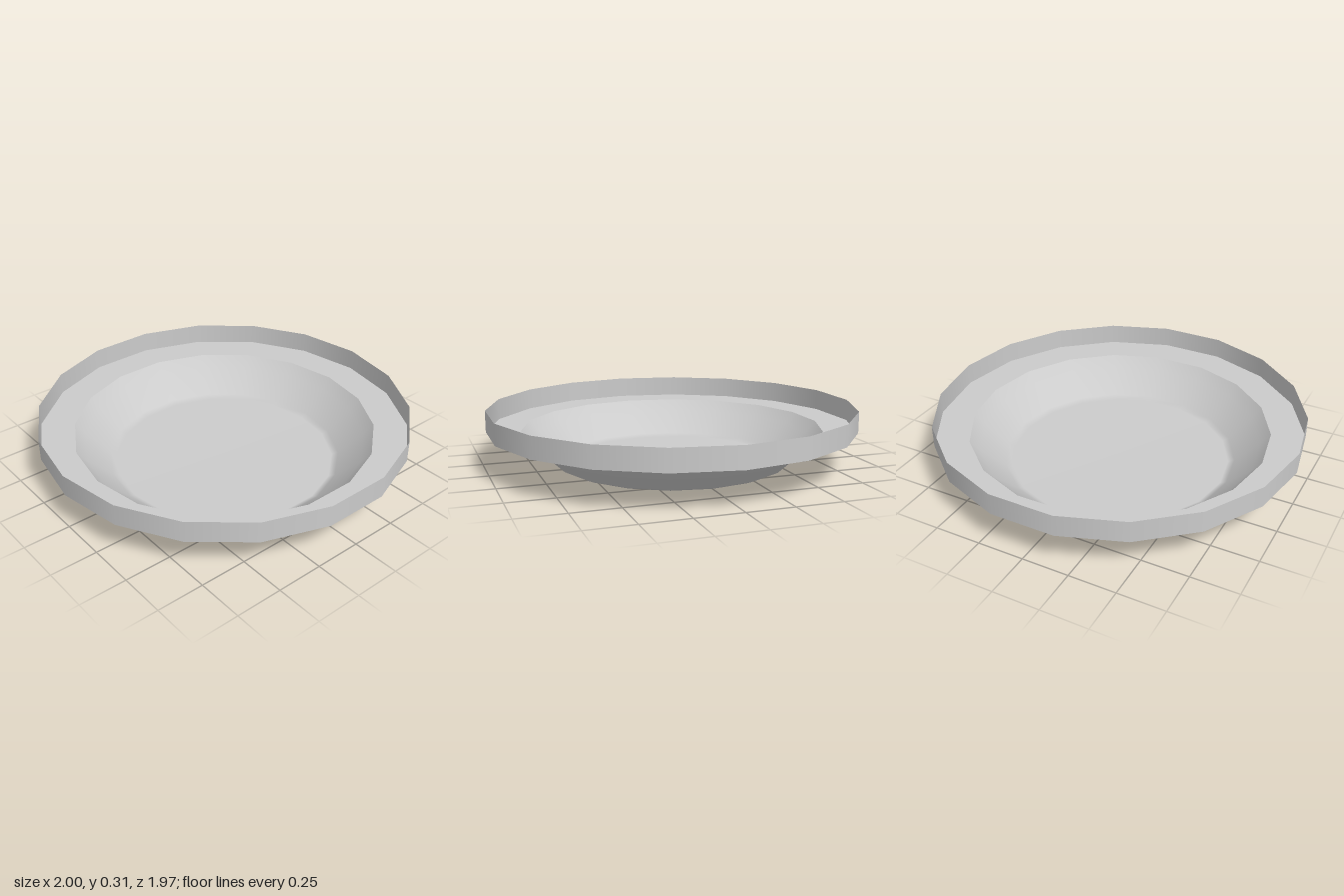
import * as THREE from 'three';

const SIDES = 18;

export function createModel() {
  const model = new THREE.Group();
  const material = new THREE.MeshStandardMaterial({ color: 0xcccccc, side: THREE.DoubleSide });

  // Revolves a profile of [radius, height] pairs, with a corner on the x axis
  const addRing = (name, profile) => {
    const points = profile.map(([r, y]) => new THREE.Vector2(r, y));
    const mesh = new THREE.Mesh(new THREE.LatheGeometry(points, SIDES, Math.PI / 2), material);
    mesh.name = name;
    model.add(mesh);
  };

  // Bowl: flat floor, softened bottom corner and sloping side
  addRing('bowl', [[0, 0], [0.6, 0], [0.635, 0.015], [0.765, 0.135], [0.817, 0.195]]);

  // Flat ledge around the bowl
  addRing('ledge', [[0.817, 0.195], [1, 0.195]]);

  // Thin upright outer wall
  addRing('rimWall', [[1, 0.195], [1, 0.31]]);

  return model;
}
